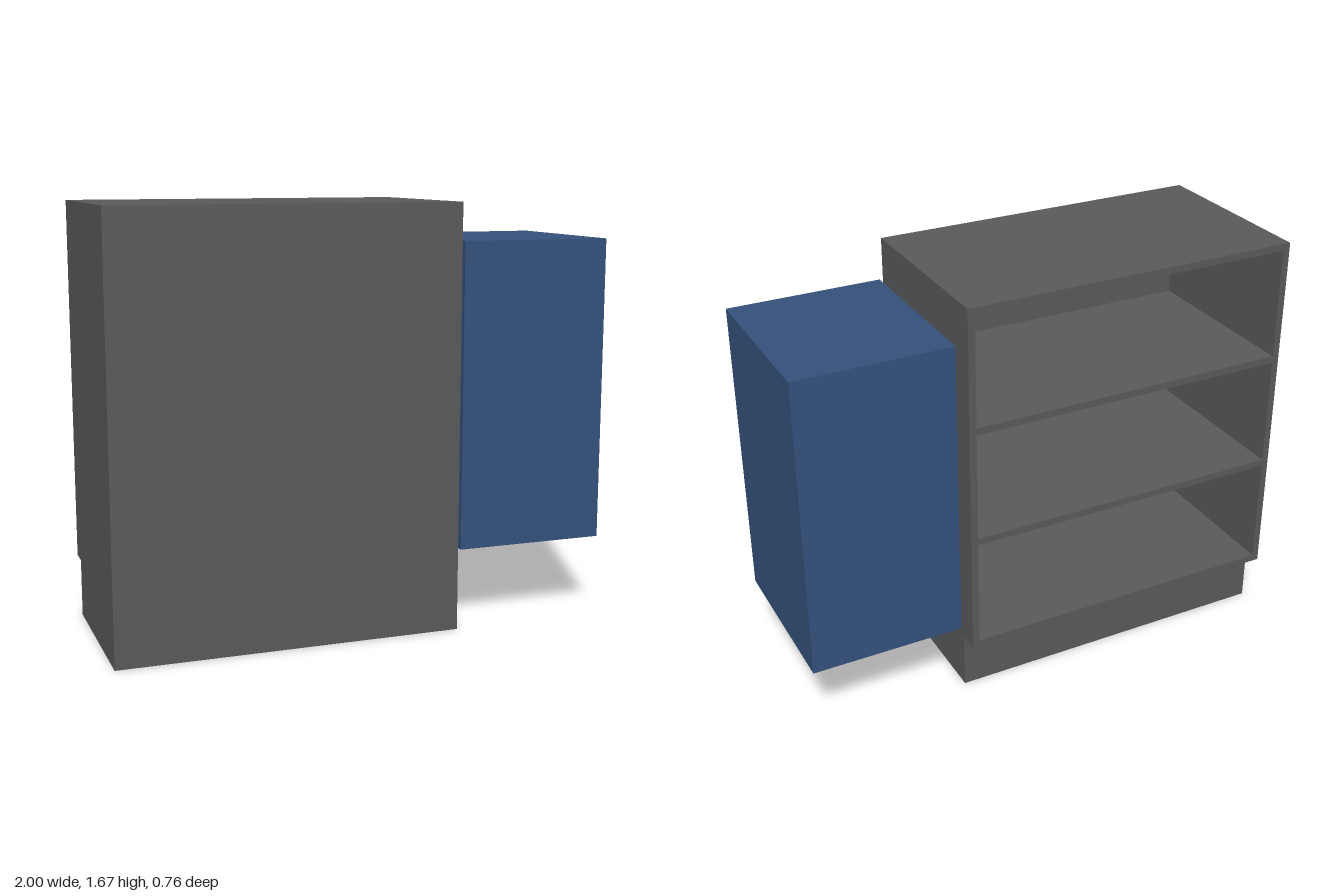
import * as THREE from 'three';

export function createModel() {
  const model = new THREE.Group();
  const grey = new THREE.MeshStandardMaterial({ color: 0x58595b });
  grey.name = 'cabinet grey';
  const blue = new THREE.MeshStandardMaterial({ color: 0x34507a });
  blue.name = 'panel blue';

  // Box given by its lower and upper corners
  function box(name, material, [x0, y0, z0], [x1, y1, z1], parent = model) {
    const mesh = new THREE.Mesh(new THREE.BoxGeometry(x1 - x0, y1 - y0, z1 - z0), material);
    mesh.position.set((x0 + x1) / 2, (y0 + y1) / 2, (z0 + z1) / 2);
    mesh.name = name;
    parent.add(mesh);
  }

  const cabinet = new THREE.Group();
  cabinet.name = 'cabinet';
  model.add(cabinet);

  const left = -1, right = 0.36, back = -0.38, front = 0.38;
  const bottom = 0.23, top = 1.67, t = 0.028, skin = 0.01;

  // Plinth, set in at the open side
  box('plinth', grey, [left, 0, -0.3], [right, bottom, front], cabinet);

  // Carcass: sides, top, bottom and closed front
  box('rightSide', grey, [left, bottom, back], [left + t, top, front], cabinet);
  box('leftSide', grey, [right - t, bottom, back], [right, top, front], cabinet);
  box('topPanel', grey, [left + t, top - t, back], [right - t, top, front], cabinet);
  box('bottomPanel', grey, [left + t, bottom, back], [right - t, bottom + t, front], cabinet);
  box('frontPanel', grey, [left + t, bottom + t, front - skin], [right - t, top - t, front], cabinet);

  // Two shelves making three equal bays
  const bay = (top - bottom - 4 * t) / 3;
  for (let i = 1; i <= 2; i++) {
    const y = bottom + i * (bay + t);
    box('shelf' + i, grey, [left + t, y, back], [right - t, y + t, front - skin], cabinet);
  }

  // Separate box hung beside the cabinet
  box('sideBox', blue, [0.39, 0.31, -0.34], [1, 1.52, 0.34]);

  return model;
}
